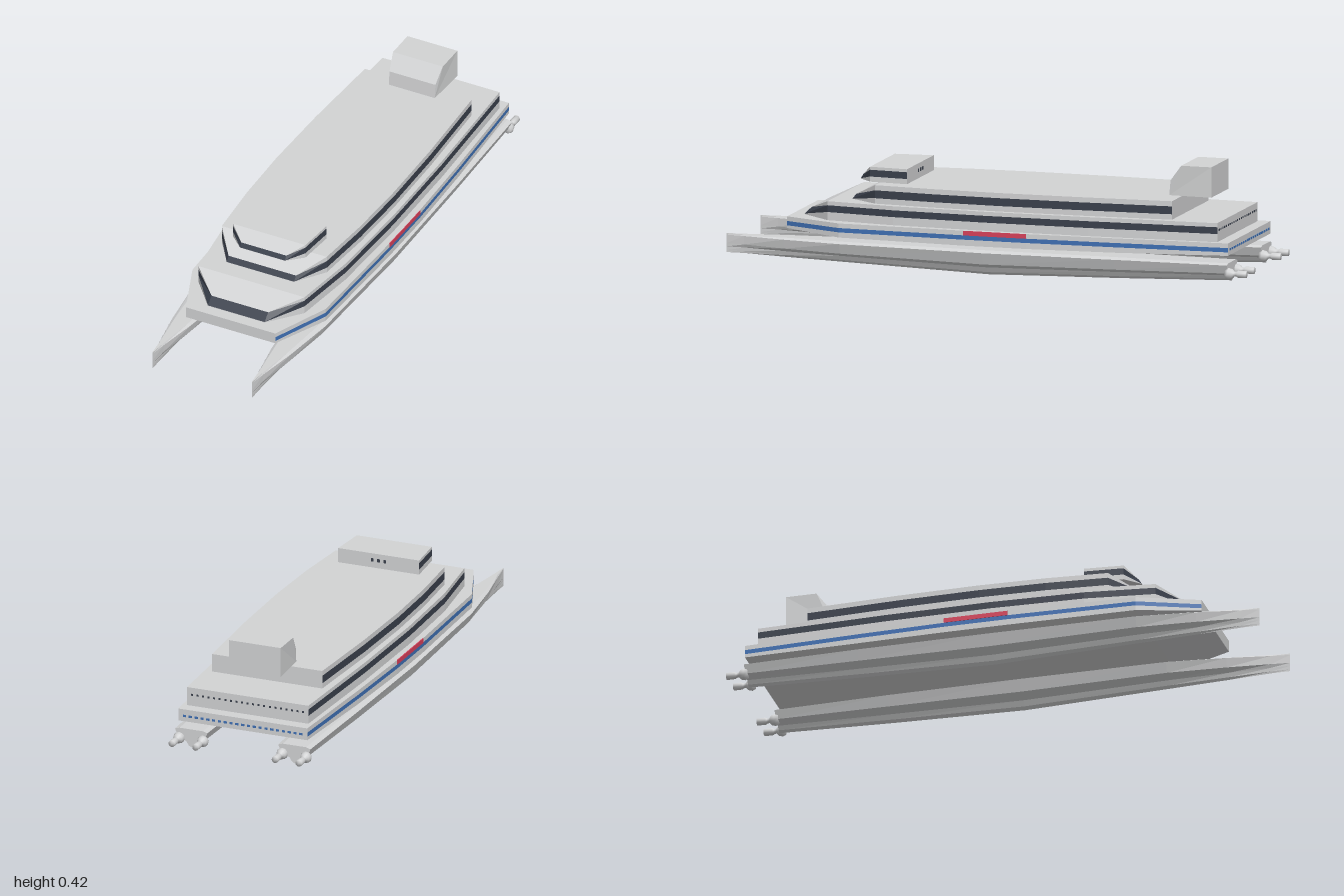
import * as THREE from 'three';

const mat = (name, color) => {
  const m = new THREE.MeshStandardMaterial({ color });
  m.name = name;
  return m;
};

// Collects flat quads and turns them into one faceted geometry
class Quads {
  constructor() { this.p = []; }
  tri(a, b, c) {
    const [A, B, C] = [a, b, c].map((v) => new THREE.Vector3(...v));
    if (B.sub(A).cross(C.sub(A)).length() > 1e-9) this.p.push(...a, ...b, ...c);
  }
  quad(a, b, c, d) { this.tri(a, b, c); this.tri(a, c, d); }
  mesh(name, material) {
    const g = new THREE.BufferGeometry();
    g.setAttribute('position', new THREE.Float32BufferAttribute(this.p, 3));
    g.computeVertexNormals();
    const m = new THREE.Mesh(g, material);
    m.name = name;
    return m;
  }
}

const flip = ([x, y, z]) => [-x, y, z];

// One deck level. Each point of the half outline, bow to stern, is
// [x, z, floor, bandBottom, bandTop, roof, z shift of the upper edges]
function deck(name, pts, bodyMat, bandMat, bandOnFront) {
  const body = new Quads(), band = new Quads();
  const right = pts.map(([x, z, a, b, c, d, s = 0]) =>
    [[x, a, z], [x, b, z], [x, c, z - s], [x, d, z - s]]);
  const left = right.map((col) => col.map(flip));
  const loop = [...right, ...left.slice().reverse()];
  const n = loop.length;
  loop.forEach((a, i) => {
    const b = loop[(i + 1) % n];
    const isFront = i === n - 1, isStern = i === pts.length - 1;
    for (let j = 0; j < 3; j++) {
      const banded = j === 1 && !isStern && (!isFront || bandOnFront);
      (banded ? band : body).quad(a[j], b[j], b[j + 1], a[j + 1]);
    }
  });
  for (let i = 0; i < pts.length - 1; i++) {
    body.quad(right[i][3], right[i + 1][3], left[i + 1][3], left[i][3]);
    body.quad(left[i][0], left[i + 1][0], right[i + 1][0], right[i][0]);
  }
  const g = new THREE.Group();
  g.name = name;
  g.add(body.mesh(name + 'Body', bodyMat), band.mesh(name + 'Band', bandMat));
  return g;
}

// Slender hull lofted from one profile; stations are [z, halfWidth, keel, top]
function hull(material) {
  const profile = [[0, 0], [0.16, 0.1], [0.3, 0.3], [0.8, 0.47], [1, 0.92], [0.72, 1]];
  const stations = [[1, 0.001, 0.03, 0.1], [0.93, 0.011, 0.03, 0.1], [0.77, 0.04, 0.024, 0.1],
    [0.55, 0.068, 0.017, 0.1], [0, 0.079, 0, 0.098], [-0.5, 0.074, 0.012, 0.098], [-0.93, 0.064, 0.026, 0.096]];
  const q = new Quads();
  const halves = stations.map(([z, w, k, t]) => profile.map(([u, v]) => [u * w, k + v * (t - k), z]));
  const rings = halves.map((h) => [...h, ...h.map(flip).reverse()]);
  const n = rings[0].length;
  for (let i = 0; i < rings.length - 1; i++) {
    const a = rings[i], b = rings[i + 1];
    for (let j = 0; j < n; j++) {
      const k = (j + 1) % n;
      q.quad(a[j], b[j], b[k], a[k]);
    }
  }
  const stern = halves[halves.length - 1];
  for (let j = 0; j < stern.length - 1; j++) {
    q.quad(flip(stern[j]), flip(stern[j + 1]), stern[j + 1], stern[j]);
  }
  return q.mesh('hull', material);
}

export function createModel() {
  const white = mat('hullWhite', 0xd2d3d4);
  const glass = mat('darkGlass', 0x3a404c);
  const blue = mat('blueStripe', 0x3f70b4);
  const red = mat('redPanel', 0xd8405a);
  const model = new THREE.Group();
  model.name = 'catamaranFerry';

  const plate = (name, material, w, h, d, x, y, z) => {
    const m = new THREE.Mesh(new THREE.BoxGeometry(w, h, d), material);
    m.name = name;
    m.position.set(x, y, z);
    model.add(m);
  };

  // Twin hulls, each with two water jets at the stern
  const jetProfile = [[0, 0], [0.017, 0], [0.022, 0.012], [0.018, 0.026], [0.009, 0.034],
    [0.009, 0.042], [0.013, 0.048], [0.013, 0.08], [0, 0.08]].map(([r, y]) => new THREE.Vector2(r, y));
  const jetGeo = new THREE.LatheGeometry(jetProfile, 12);
  jetGeo.rotateX(-Math.PI / 2);
  for (const side of [-1, 1]) {
    const g = new THREE.Group();
    g.name = side > 0 ? 'leftHull' : 'rightHull';
    g.position.x = side * 0.204;
    g.add(hull(white));
    for (const s of [-1, 1]) {
      const jet = new THREE.Mesh(jetGeo, white);
      jet.name = 'waterJet';
      jet.position.set(s * 0.047, 0.058, -0.92);
      g.add(jet);
    }
    model.add(g);
  }

  // Main deck with blue side stripe
  const m = [0.137, 0.153, 0.17];
  model.add(deck('mainDeck', [
    [0.183, 0.775, 0.127, ...m], [0.273, 0.55, 0.118, ...m], [0.285, 0.07, 0.115, ...m],
    [0.285, -0.17, 0.115, ...m], [0.275, -0.5, 0.117, ...m], [0.255, -0.93, 0.124, ...m],
  ], white, blue, false));

  // Passenger decks and bridge, each with a window band sweeping down at the bow
  const p = [0.17, 0.2, 0.225, 0.24];
  model.add(deck('lowerCabin', [
    [0.116, 0.73, 0.17, 0.172, 0.198, 0.198, 0.028], [0.217, 0.61, ...p], [0.25, 0.35, ...p],
    [0.262, 0, ...p], [0.258, -0.4, ...p], [0.24, -0.885, ...p],
  ], white, glass, true));
  const u = [0.24, 0.26, 0.289, 0.308];
  model.add(deck('upperCabin', [
    [0.138, 0.54, 0.24, 0.241, 0.259, 0.259, 0.015], [0.215, 0.43, ...u], [0.233, 0.2, ...u],
    [0.24, -0.05, ...u], [0.235, -0.35, ...u], [0.218, -0.705, ...u],
  ], white, glass, true));
  const b = [0.308, 0.327, 0.352, 0.363];
  model.add(deck('bridge', [
    [0.092, 0.523, 0.308, 0.309, 0.325, 0.325, 0.01], [0.148, 0.47, ...b], [0.16, 0.325, ...b],
  ], white, glass, true));

  // Funnel with a sloped front that narrows downward
  const f = new Quads();
  const fr = [[0.094, 0.308, -0.655], [0.094, 0.363, -0.66], [0.102, 0.42, -0.703],
    [0.102, 0.42, -0.818], [0.102, 0.308, -0.818]];
  fr.forEach((a, i) => {
    const c = fr[(i + 1) % fr.length];
    f.quad(a, c, flip(c), flip(a));
    if (i > 0 && i < fr.length - 1) {
      f.tri(fr[0], c, a);
      f.tri(flip(fr[0]), flip(a), flip(c));
    }
  });
  // Both windings are resolved by drawing the shell two-sided
  const shell = mat('funnelWhite', 0xd2d3d4);
  shell.side = THREE.DoubleSide;
  model.add(f.mesh('funnel', shell));

  // Red side panels
  for (const s of [-1, 1]) plate('sidePanel', red, 0.004, 0.017, 0.24, s * 0.285, 0.1615, -0.05);

  // Small stern windows and dashed stern stripe
  for (let i = -10; i <= 10; i++) {
    plate('sternWindow', glass, 0.007, 0.007, 0.004, i * 0.022, 0.213, -0.885);
    plate('sternDash', blue, 0.012, 0.008, 0.004, i * 0.023, 0.145, -0.93);
  }
  for (const i of [-1, 0, 1]) plate('bridgeSternWindow', glass, 0.01, 0.012, 0.004, i * 0.025, 0.338, 0.325);

  return model;
}
